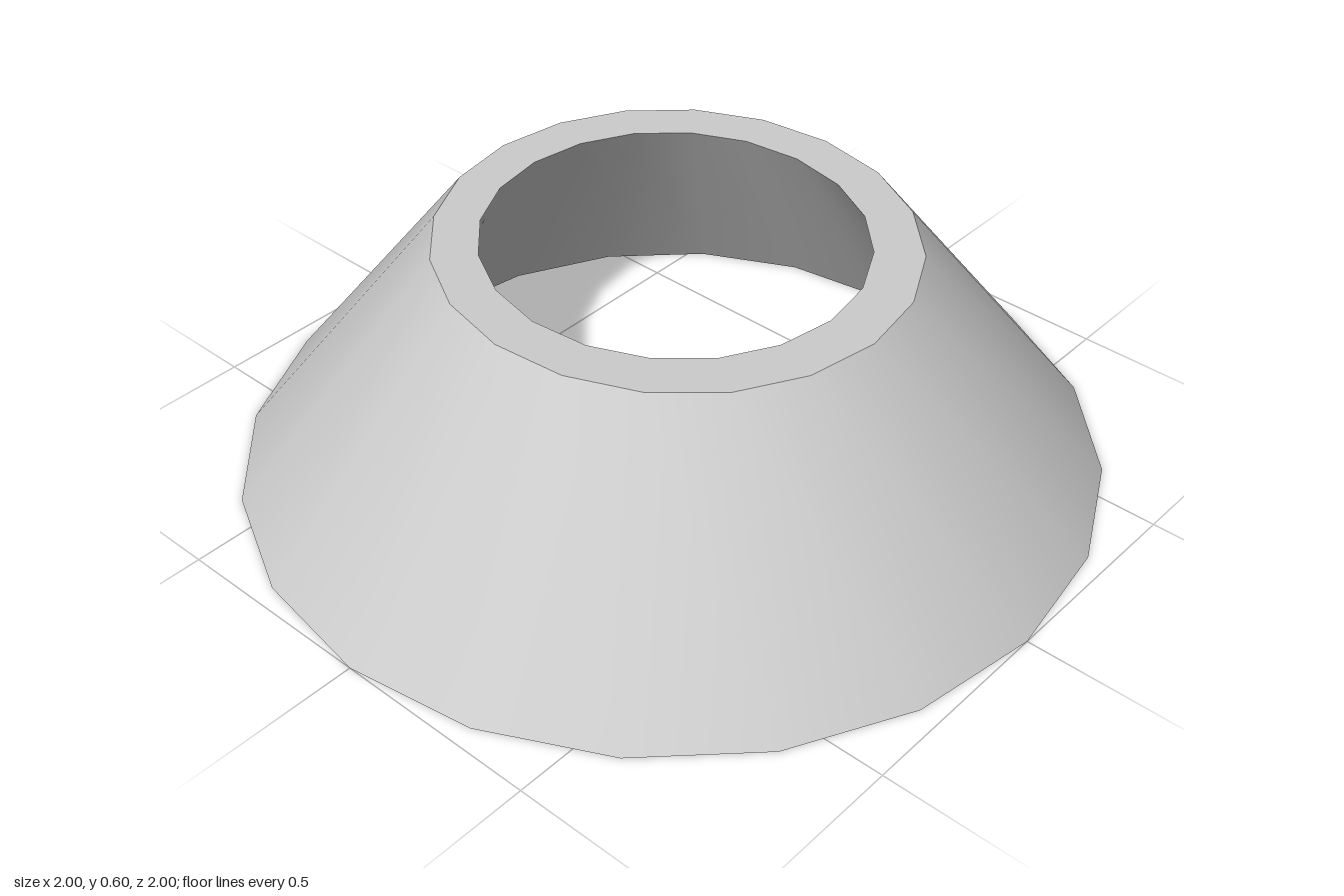
import * as THREE from 'three';

const SIDES = 20;
const TAPER = 0.79;   // radius lost per unit of height
const HEIGHT = 0.58;  // rim height on the axis
const TILT = 0.038;   // rim drops this much per unit of z
const INNER = 0.8;    // bore radius relative to the outer cone

export function createModel() {
  const group = new THREE.Group();
  group.name = 'hollowCone';
  const material = new THREE.MeshStandardMaterial({ color: 0xcccccc });

  // Cross-section corners, going round the solid wall
  const corner = (scale, top) => new THREE.Vector2(
    scale * (top ? 1 - TAPER * HEIGHT : 1), top ? HEIGHT : 0);
  const outerBottom = corner(1, false);
  const outerTop = corner(1, true);
  const innerTop = corner(INNER, true);
  const innerBottom = corner(INNER, false);

  // Slide rim vertices along the cone until they meet the tilted plane
  function tiltRim(geometry) {
    const p = geometry.attributes.position;
    for (let i = 0; i < p.count; i++) {
      if (p.getY(i) < HEIGHT / 2) continue;
      const x = p.getX(i), z = p.getZ(i), r = Math.hypot(x, z);
      const scale = r / (1 - TAPER * HEIGHT);
      const grow = 1 / (1 - scale * TAPER * TILT * z / r);
      p.setXYZ(i, x * grow, HEIGHT - TILT * z * grow, z * grow);
    }
  }

  // Each surface is its own lathe, so the edges between them stay sharp
  function addSurface(name, from, to, flat) {
    const geometry = new THREE.LatheGeometry([from, to], SIDES);
    tiltRim(geometry);
    if (flat) geometry.computeVertexNormals();
    const mesh = new THREE.Mesh(geometry, material);
    mesh.name = name;
    group.add(mesh);
  }

  addSurface('outerWall', outerBottom, outerTop, false);
  addSurface('topRim', outerTop, innerTop, true);
  addSurface('innerWall', innerTop, innerBottom, false);
  addSurface('baseRing', innerBottom, outerBottom, true);

  return group;
}
